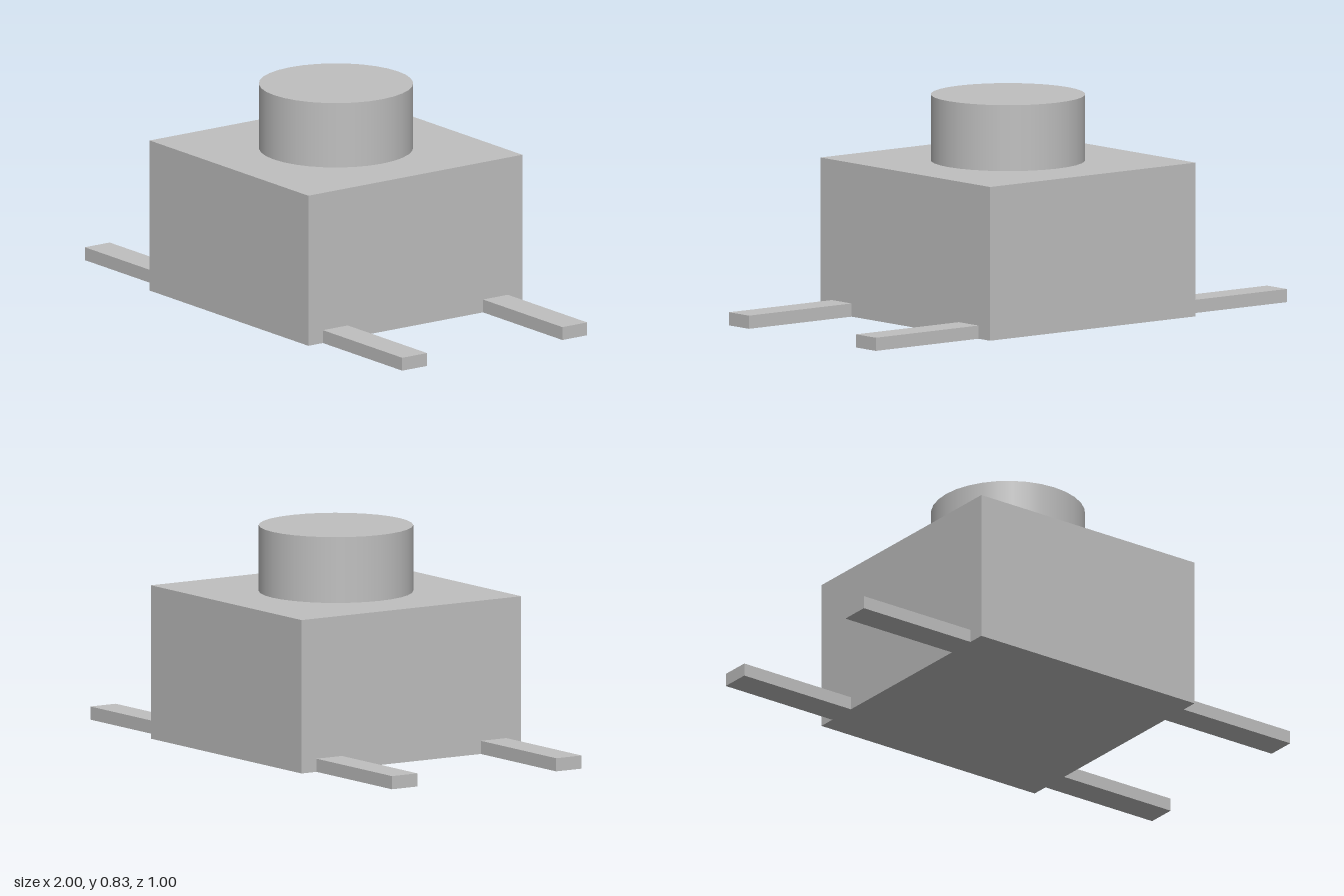
import * as THREE from 'three';

const BODY = 1, BODY_H = 0.583, BUTTON_R = 0.29, BUTTON_H = 0.25;
const LEG_L = 0.5, LEG_H = 0.05, LEG_W = 0.116, LEG_Z = 0.374;

export function createModel() {
  const model = new THREE.Group();
  model.name = 'pushButtonSwitch';
  const grey = new THREE.MeshStandardMaterial({ color: 0xbfbfbf });
  grey.name = 'grey';

  const add = (name, geometry, x, y, z) => {
    const mesh = new THREE.Mesh(geometry, grey);
    mesh.name = name;
    mesh.position.set(x, y, z);
    model.add(mesh);
  };

  // square housing
  add('body', new THREE.BoxGeometry(BODY, BODY_H, BODY), 0, BODY_H / 2, 0);

  // round plunger on top
  add('button', new THREE.CylinderGeometry(BUTTON_R, BUTTON_R, BUTTON_H, 32), 0, BODY_H + BUTTON_H / 2, 0);

  // four flat legs, two on each side
  const leg = new THREE.BoxGeometry(LEG_L, LEG_H, LEG_W);
  for (const [side, sx] of [['Left', 1], ['Right', -1]])
    for (const [end, sz] of [['front', 1], ['back', -1]])
      add(`${end}${side}Leg`, leg, sx * (BODY + LEG_L) / 2, LEG_H / 2, sz * LEG_Z);

  return model;
}
